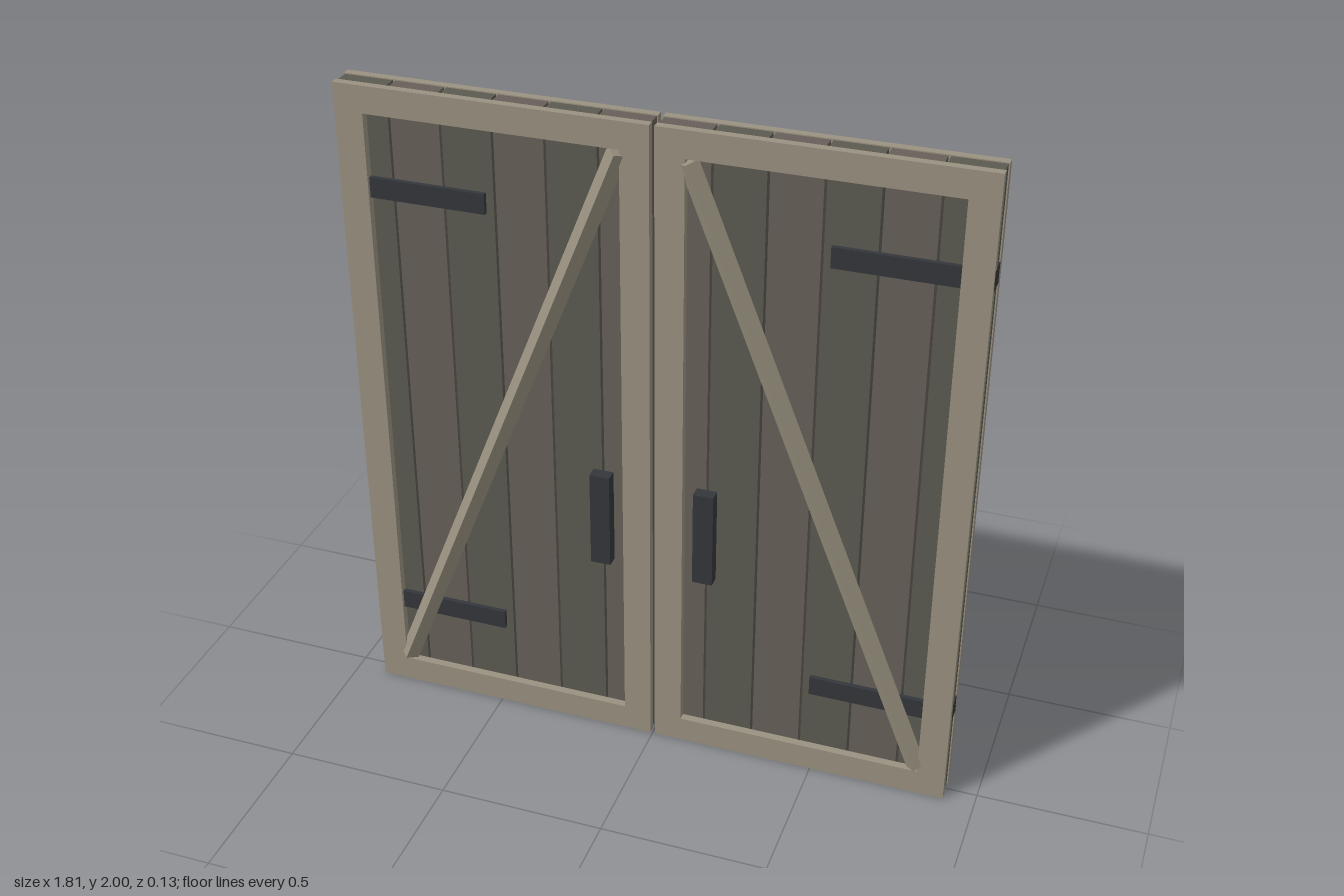
import * as THREE from 'three';

const mat = (color) => new THREE.MeshStandardMaterial({ color, flatShading: true });
const frameMat = mat(0x999180);
const plankMats = [mat(0x675f58), mat(0x5b5a51)];
const ironMat = mat(0x33363a);

// One leaf spans x = INNER..OUTER on its own side
const INNER = 0.007, OUTER = 0.907, HEIGHT = 2;
const MID = (INNER + OUTER) / 2;
const PLANK_HALF = 0.023, FRAME_FACE = 0.047, RAIL = 0.083;

function add(parent, name, geometry, material, x, y, z) {
  const mesh = new THREE.Mesh(geometry, material);
  mesh.name = name;
  mesh.position.set(x, y, z);
  parent.add(mesh);
  return mesh;
}

function rect(target, w, h) {
  target.moveTo(-w / 2, -h / 2);
  target.lineTo(w / 2, -h / 2);
  target.lineTo(w / 2, h / 2);
  target.lineTo(-w / 2, h / 2);
  target.closePath();
  return target;
}

// Rectangular frame with an open middle
function frameGeometry() {
  const w = OUTER - INNER;
  const shape = rect(new THREE.Shape(), w, HEIGHT);
  shape.holes.push(rect(new THREE.Path(), w - 2 * RAIL, HEIGHT - 2 * 0.08));
  const depth = FRAME_FACE - PLANK_HALF;
  return new THREE.ExtrudeGeometry(shape, { depth, bevelEnabled: false }).translate(0, 0, -depth / 2);
}

function createLeaf(side) {
  const leaf = new THREE.Group();
  leaf.name = side > 0 ? 'leftDoor' : 'rightDoor';

  // Vertical planks with narrow gaps
  const count = 6, pitch = (OUTER - INNER) / count;
  const plank = new THREE.BoxGeometry(pitch - 0.007, HEIGHT - 0.006, 2 * PLANK_HALF);
  for (let i = 0; i < count; i++) {
    add(leaf, 'plank', plank, plankMats[i % 2], side * (INNER + pitch * (i + 0.5)), HEIGHT / 2, 0);
  }

  // Frame and diagonal brace on both faces
  const frame = frameGeometry();
  const dx = 0.36, dy = 0.908, half = 0.03;
  const beam = half * Math.SQRT2;
  const brace = new THREE.BoxGeometry(beam, 2 * Math.hypot(dx, dy), beam).rotateY(Math.PI / 4);
  for (const face of [1, -1]) {
    add(leaf, 'frame', frame, frameMat, side * MID, HEIGHT / 2, face * (FRAME_FACE + PLANK_HALF) / 2);
    const b = add(leaf, 'brace', brace, frameMat, side * MID, 1.003, face * 0.037);
    b.rotation.z = side * Math.atan2(dx, dy);
  }

  // Hinge straps wrapping the outer edge
  const strap = new THREE.BoxGeometry(OUTER - 0.483, 0.06, 0.074);
  for (const y of [0.304, 1.7]) {
    add(leaf, 'hingeStrap', strap, ironMat, side * (OUTER + 0.483) / 2, y, 0);
  }

  // Pull handle passing through to both faces
  add(leaf, 'handle', new THREE.BoxGeometry(0.06, 0.3, 0.12), ironMat, side * 0.156, 0.76, 0);
  return leaf;
}

export function createModel() {
  const model = new THREE.Group();
  model.name = 'doubleDoor';
  for (const side of [1, -1]) model.add(createLeaf(side));
  return model;
}
